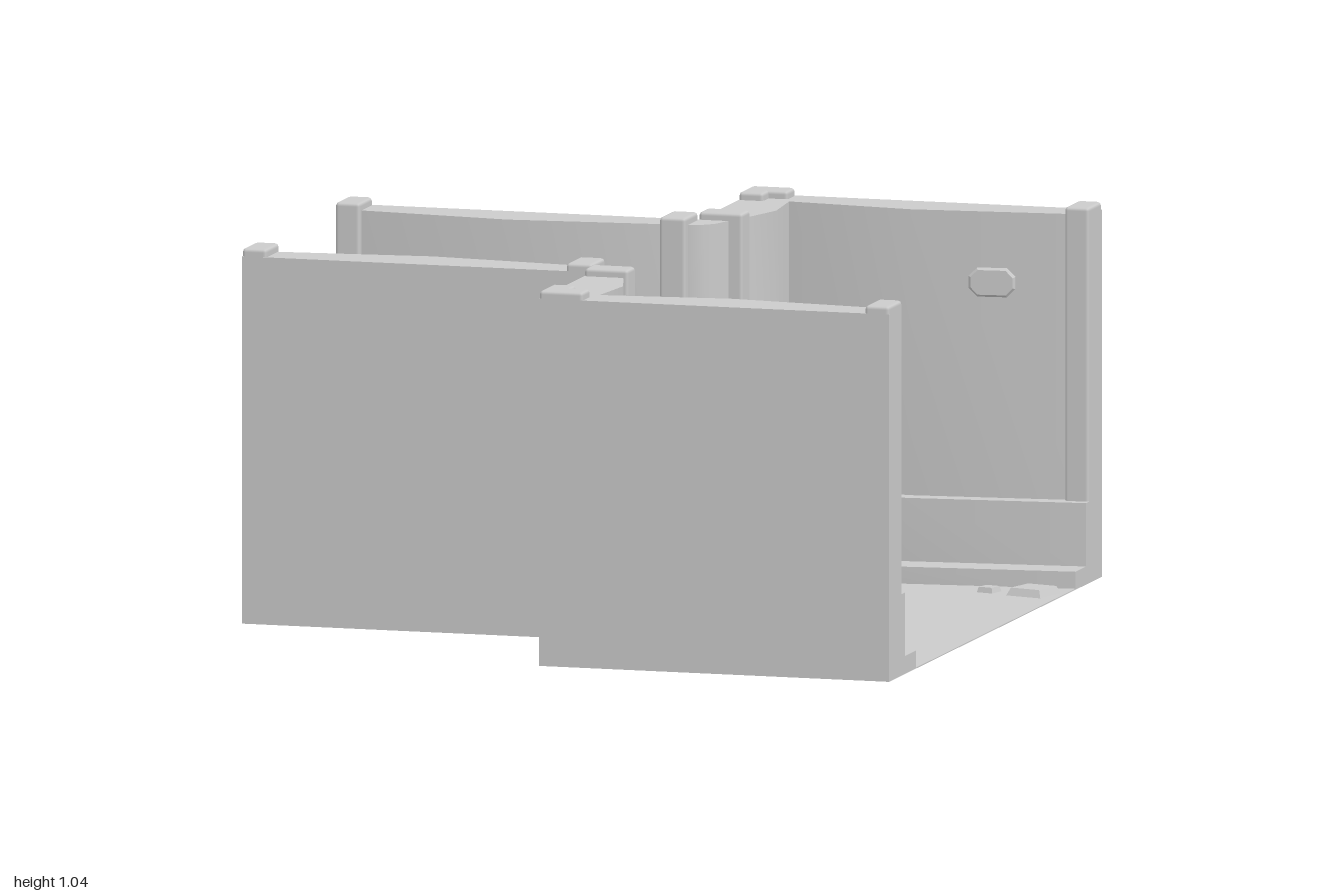
import * as THREE from 'three';
import { toCreasedNormals } from 'three/addons/utils/BufferGeometryUtils.js';
import { RoundedBoxGeometry } from 'three/addons/geometries/RoundedBoxGeometry.js';

const material = new THREE.MeshStandardMaterial({ color: 0xcccccc });

// Inner edges [x, distance from the centre line] of the stepped walls
const CURB = [[-1, .25], [-.5, .2], [0, .25], [.13, .295], [.175, .335], [.205, .39], [.25, .54], [.29, .72], [.5, .7], [1, .75]];
const PLINTH = [[-1, .35], [-.5, .3], [0, .35], [.07, .38], [.1, .41], [.125, .45], [.165, .54], [.2, .66], [.185, .835], [.5, .8], [1, .85]];
const WALL = [[-1, .4], [-.5, .35], [0, .4], [.04, .415], [.065, .44], [.085, .5], [.12, .6], [.155, .72], [.14, .89], [.5, .85], [1, .9]];
const OUTER = [[1, 1], [0, 1], [0, .5], [-1, .5]];

function add(parent, name, geometry) {
  const mesh = new THREE.Mesh(geometry, material);
  mesh.name = name;
  parent.add(mesh);
  return mesh;
}

// Upright prism from a plan outline of [x, z] points
function prism(points, y0, y1) {
  const shape = new THREE.Shape(points.map(([x, z]) => new THREE.Vector2(x, -z)));
  const geo = new THREE.ExtrudeGeometry(shape, { depth: y1 - y0, bevelEnabled: false });
  geo.rotateX(-Math.PI / 2).translate(0, y0, 0);
  return toCreasedNormals(geo, 0.45);
}

// Thin stone with clipped corners and a small bevel, facing +z
function plaqueGeometry(w, h) {
  const b = .006, c = .02, x = w / 2 - b, y = h / 2 - b;
  const shape = new THREE.Shape([[-x + c, -y], [x - c, -y], [x, -y + c], [x, y - c], [x - c, y], [-x + c, y], [-x, y - c], [-x, -y + c]]
    .map(p => new THREE.Vector2(...p)));
  const geo = new THREE.ExtrudeGeometry(shape, { depth: .014, bevelThickness: b, bevelSize: b, bevelSegments: 1 });
  return geo.translate(0, 0, -.01);
}

// Four-sided cobble tapering to a flat top
function cobbleGeometry(size, height) {
  const geo = new THREE.CylinderGeometry(size * .58, size * .7071, height, 4, 1).toNonIndexed();
  geo.rotateY(Math.PI / 4).translate(0, height / 2, 0);
  geo.computeVertexNormals();
  return geo;
}

function buildWall(side, name) {
  const wall = new THREE.Group();
  wall.name = name;
  const layer = (line) => [...line, ...OUTER].map(([x, z]) => [x, z * side]);
  add(wall, 'curb', prism(layer(CURB), 0, .05));
  add(wall, 'plinth', prism(layer(PLINTH), .05, .225));
  add(wall, 'wallBody', prism(layer(WALL), .225, 1.015));

  // Pillars: x0, x1, z0, z1
  for (const [x0, x1, z0, z1] of [
    [-1, -.93, .375, .5], [-.075, 0, .375, .5], [0, .125, .5, .575],
    [0, .07, .875, 1], [0, .125, .925, 1], [.93, 1, .875, 1],
  ]) {
    const pillar = add(wall, 'pillar', new RoundedBoxGeometry(x1 - x0, .86, z1 - z0, 1, .01));
    pillar.position.set((x0 + x1) / 2, 1.037 - .43, side * (z0 + z1) / 2);
  }
  return wall;
}

// Raised stones set into the long walls: x, y, width, height
const STONES = {
  back: [[-.79, .5, .12, .08], [-.61, .36, .13, .11], [-.25, .82, .12, .08], [.25, .52, .11, .08], [.39, .36, .13, .11], [.725, .82, .13, .08]],
  front: [[-.75, .77, .12, .08], [-.32, .36, .13, .11], [.25, .8, .11, .08], [.64, .36, .15, .11], [.81, .57, .12, .08]],
};

function addStones(parent, side, stones) {
  // Straight runs of the wall that carry stones
  const runs = [[WALL[0], WALL[1]], [WALL[1], WALL[2]], [WALL[8], WALL[9]], [WALL[9], WALL[10]]];
  for (const [x, y, w, h] of stones) {
    const [a, b] = runs.find(([p, q]) => x >= p[0] && x <= q[0]);
    const slope = (b[1] - a[1]) / (b[0] - a[0]);
    const stone = add(parent, 'wallStone', plaqueGeometry(w, h));
    stone.position.set(x, y, side * (a[1] + slope * (x - a[0])));
    stone.rotation.y = (side > 0 ? Math.PI : 0) - side * Math.atan(slope);
  }
}

export function createModel() {
  const model = new THREE.Group();
  model.name = 'corridorJunction';

  // Thin T-shaped floor
  add(model, 'floor', prism([[-1, -.5], [0, -.5], [0, -1], [1, -1], [1, 1], [0, 1], [0, .5], [-1, .5]], 0, .003));

  const back = buildWall(-1, 'backWall');
  const front = buildWall(1, 'frontWall');
  addStones(back, -1, STONES.back);
  addStones(front, 1, STONES.front);
  model.add(back, front);

  // Stones on the short return walls
  for (const [parent, x, z, tilt] of [[back, .147, -.825, .09], [front, .138, .67, -.29]]) {
    const stone = add(parent, 'wallStone', plaqueGeometry(.125, .08));
    stone.position.set(x, .487, z);
    stone.rotation.y = Math.PI / 2 - tilt * (z < 0 ? 1 : -1);
  }

  // Cobbles: x, z, size, turn
  for (const [x, z, size, turn] of [
    [-.92, .11, .11, -.25], [-.08, -.12, .11, -.25], [.92, -.62, .11, -.25], [.39, .56, .11, -.25],
    [-.79, -.03, .05, 0], [-.79, .12, .05, -.25], [-.21, -.13, .05, -.25], [-.21, .02, .05, 0],
    [.79, -.63, .05, -.25], [.79, .52, .05, 0], [.38, .68, .05, -.2],
  ]) {
    const cobble = add(model, 'cobble', cobbleGeometry(size, size > .1 ? .022 : .016));
    cobble.position.set(x, .002, z);
    cobble.rotation.y = turn;
  }

  // Tilted slabs half sunk into the floor: x, z, turn
  for (const [x, z, turn] of [
    [-.88, -.13, .7], [-.69, -.09, -.2], [-.31, .08, -.25], [-.12, .12, .7],
    [.31, -.59, -.2], [.68, .58, -.2], [.88, .62, .65],
  ]) {
    const slab = add(model, 'sunkenSlab', new THREE.BoxGeometry(.1, .012, .1));
    slab.position.set(x, .009, z);
    slab.rotation.set(.06, turn, .05, 'YXZ');
  }
  return model;
}
